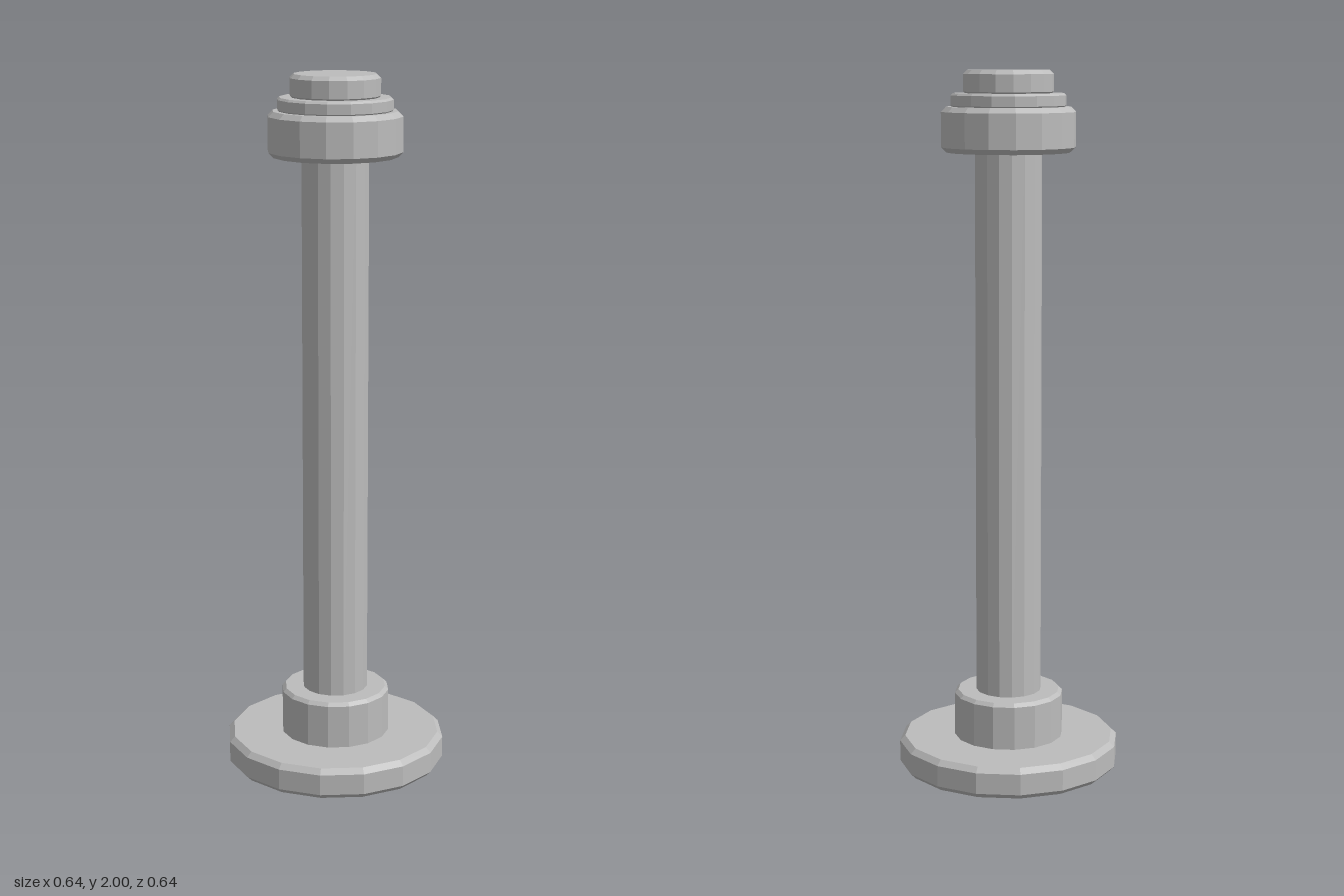
import * as THREE from 'three';

const SIDES = 16;

export function createModel() {
  const group = new THREE.Group();
  group.name = 'postWithCap';

  const grey = new THREE.MeshStandardMaterial({ color: 0xbcbcbc });
  grey.name = 'grey';
  grey.flatShading = true;

  // Closed faceted disc with chamfered rims, from height y0 to y1
  function addDisc(name, radius, y0, y1, bevel) {
    const profile = [
      [0, y0],
      [radius - bevel, y0],
      [radius, y0 + bevel],
      [radius, y1 - bevel],
      [radius - bevel, y1],
      [0, y1],
    ].map(([r, y]) => new THREE.Vector2(r, y));
    const mesh = new THREE.Mesh(new THREE.LatheGeometry(profile, SIDES), grey);
    mesh.name = name;
    group.add(mesh);
  }

  // Foot
  addDisc('basePlate', 0.318, 0, 0.09, 0.015);
  addDisc('baseCollar', 0.157, 0.08, 0.225, 0.01);

  // Long shaft, ends buried in the collar and the cap
  const shaft = new THREE.Mesh(
    new THREE.CylinderGeometry(0.094, 0.094, 1.62, SIDES), grey);
  shaft.name = 'shaft';
  shaft.position.y = 1.0;
  group.add(shaft);

  // Stepped cap
  addDisc('capRing', 0.188, 1.775, 1.9, 0.014);
  addDisc('capStep', 0.161, 1.897, 1.937, 0.006);
  addDisc('capButton', 0.126, 1.93, 2.0, 0.011);

  return group;
}
